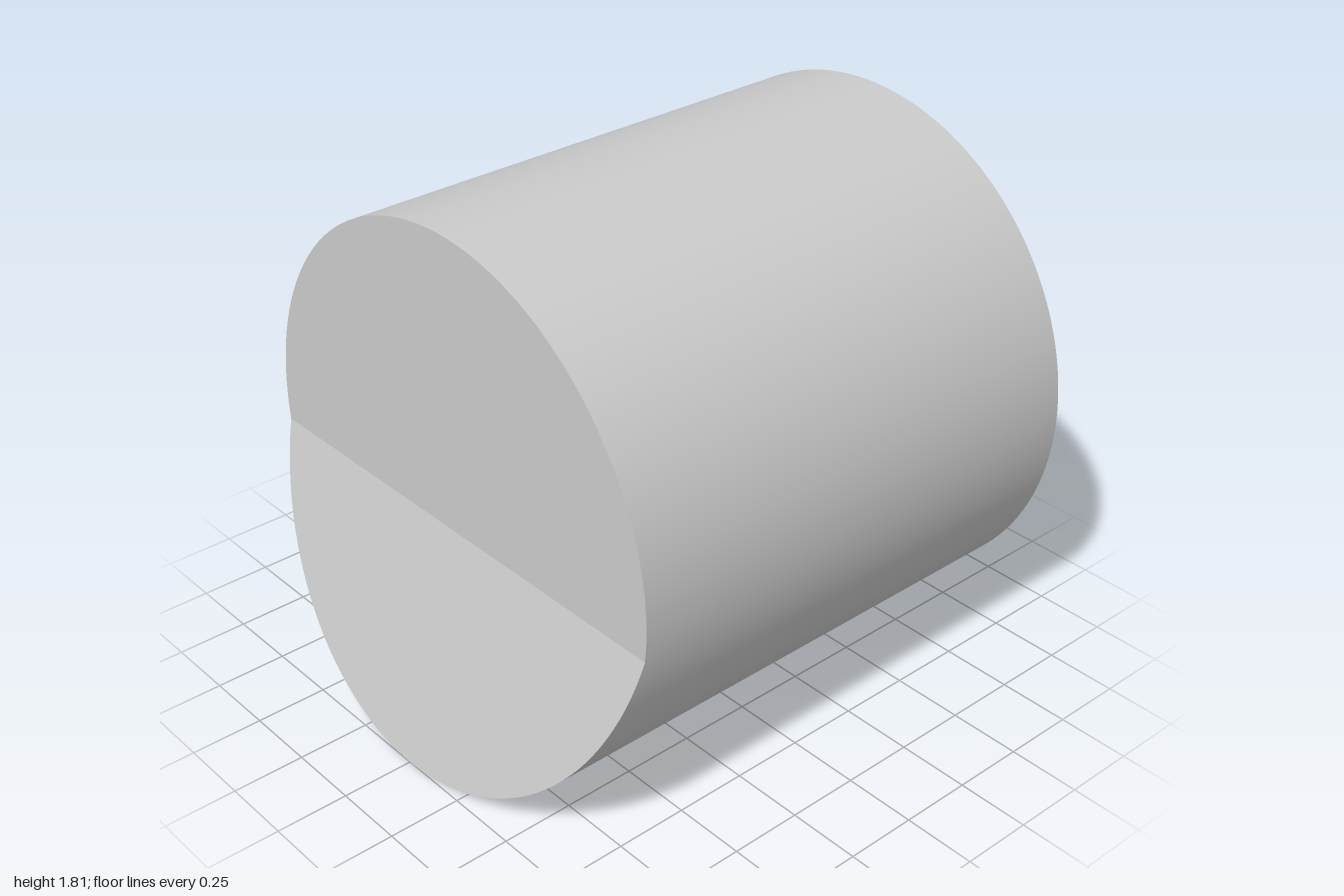
import * as THREE from 'three';

const R = 0.907;                         // cylinder radius, axis along x at height R
const RIGHT = 1, LEFT = -0.785, TIP = -1;
const BREAK = -0.105;                    // height of the bend in the left end, relative to the axis
const A = Math.asin(-BREAK / R);
const SEG = 96;

export function createModel() {
  const group = new THREE.Group();
  const material = new THREE.MeshStandardMaterial({ color: 0xcccccc });

  const add = (name, geometry) => {
    const mesh = new THREE.Mesh(geometry, material);
    mesh.name = name;
    mesh.position.y = R;
    group.add(mesh);
  };

  // Left end: vertical above the bend, sloping out to the tip below it
  const leftX = (y) => LEFT + (TIP - LEFT) * Math.max(0, (BREAK - y) / (BREAK + R));
  const fitLeftEnd = (geometry) => {
    const p = geometry.attributes.position;
    for (let i = 0; i < p.count; i++) {
      if (p.getX(i) < 0) p.setX(i, leftX(p.getY(i)));
    }
    return geometry;
  };

  // Upper and lower arcs meet exactly at the bend
  const arcs = [
    ['upper', -A, Math.PI + 2 * A],
    ['lower', Math.PI + A, Math.PI - 2 * A],
  ];
  for (const [side, start, length] of arcs) {
    const wall = new THREE.CylinderGeometry(R, R, RIGHT - LEFT, SEG, 1, true, start, length);
    wall.rotateZ(Math.PI / 2).translate((RIGHT + LEFT) / 2, 0, 0);
    add(side + 'Wall', fitLeftEnd(wall));

    const shape = new THREE.Shape().absarc(0, 0, R, start, start + length, false);
    const face = new THREE.ShapeGeometry(shape, SEG / 2);
    face.rotateY(-Math.PI / 2).translate(LEFT, 0, 0);
    fitLeftEnd(face).computeVertexNormals();
    add(side + 'LeftFace', face);
  }

  // Flat right end
  add('rightFace', new THREE.CircleGeometry(R, SEG * 2).rotateY(Math.PI / 2).translate(RIGHT, 0, 0));

  return group;
}
